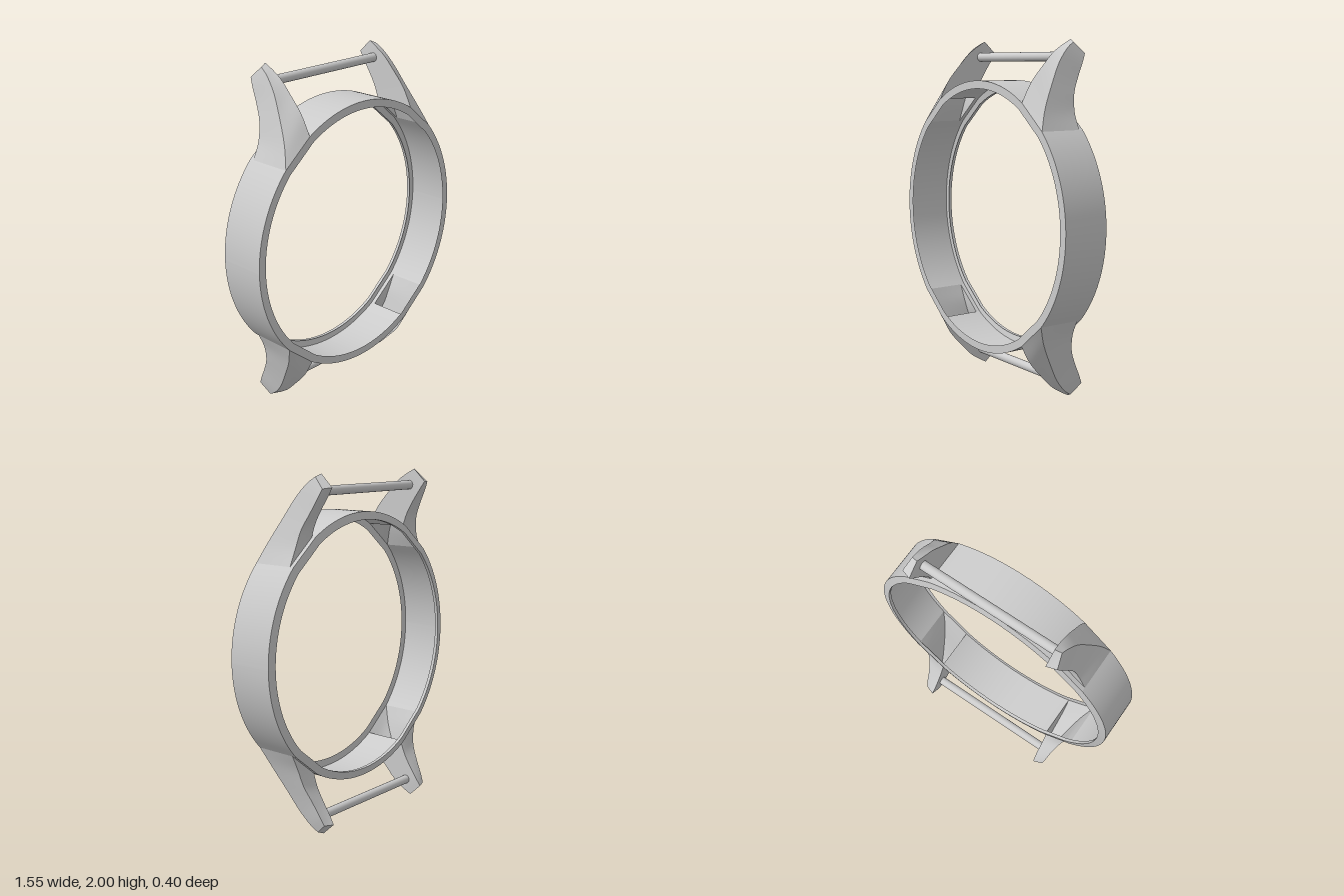
import * as THREE from 'three';

const material = new THREE.MeshStandardMaterial({ color: 0xcccccc, side: THREE.DoubleSide });

const R = 0.775, LIP = 0.045;          // case radius and lip width
const FRONT = 0.2, SHOULDER = -0.05, EDGE = -0.075, BACK = -0.085;
const A = 0.735, B = 1.027;            // angles between which a lug meets the case
const MID = (A + B) / 2;

// Smooth surface through rows of points
function strip(rows) {
  const n = rows[0].length, index = [];
  for (let i = 0; i < rows.length - 1; i++) {
    for (let j = 0; j < n - 1; j++) {
      const a = i * n + j, b = a + n;
      index.push(a, b, a + 1, b, b + 1, a + 1);
    }
  }
  const geometry = new THREE.BufferGeometry().setFromPoints(rows.flat());
  geometry.setIndex(index);
  geometry.computeVertexNormals();
  return geometry;
}

function add(group, name, geometry) {
  const mesh = new THREE.Mesh(geometry, material);
  mesh.name = name;
  group.add(mesh);
}

// Case radius: round, flattened to a chord where the lug joins
const radius = (t) => (t > A && t < B ? R * Math.cos((B - A) / 2) / Math.cos(t - MID) : R);

// Sweep a profile of [inset, z] points around the case between two angles
function sweep(from, to, profile, steps = 20) {
  const rows = [];
  for (let i = 0; i <= steps; i++) {
    const t = from + (to - from) * i / steps;
    rows.push(profile.map(([inset, z]) => new THREE.Vector3(
      (radius(t) - inset) * Math.cos(t), (radius(t) - inset) * Math.sin(t), z)));
  }
  return strip(rows);
}

function lug() {
  const group = new THREE.Group();
  group.name = 'lug';
  const meet = (t, z) => [R * Math.cos(t), R * Math.sin(t), z];
  // The four long edges, from the case to the tip
  const edges = {
    frontInner: [meet(B, FRONT), [0.402, 0.77, 0.14], [0.402, 0.86, 0.06], [0.402, 0.93, -0.01], [0.403, 0.97, -0.07], [0.407, 1.0, -0.125]],
    frontOuter: [meet(A, FRONT), [0.535, 0.63, 0.15], [0.497, 0.76, 0.075], [0.468, 0.88, 0], [0.452, 0.955, -0.07], [0.444, 0.985, -0.115]],
    backOuter: [meet(A, SHOULDER), [0.535, 0.61, -0.052], [0.508, 0.71, -0.07], [0.486, 0.8, -0.115], [0.473, 0.88, -0.158], [0.463, 0.925, -0.18]],
    backInner: [meet(B, SHOULDER), [0.402, 0.7, -0.062], [0.402, 0.75, -0.083], [0.402, 0.82, -0.125], [0.403, 0.885, -0.17], [0.407, 0.93, -0.2]],
  };
  const lines = {};
  for (const key in edges) {
    const curve = new THREE.CatmullRomCurve3(edges[key].map((p) => new THREE.Vector3(...p)));
    lines[key] = Array.from({ length: 31 }, (_, i) => curve.getPoint(i / 30));
  }
  const { frontInner, frontOuter, backOuter, backInner } = lines;
  const between = (p, q) => strip(p.map((v, i) =>
    Array.from({ length: 5 }, (_, k) => v.clone().lerp(q[i], k / 4))));
  add(group, 'lugOuterSide', between(backOuter, frontOuter));
  add(group, 'lugFront', between(frontOuter, frontInner));
  add(group, 'lugInnerSide', between(frontInner, backInner));
  add(group, 'lugBack', between(backInner, backOuter));
  add(group, 'lugTip', strip([[frontInner[30], backInner[30]], [frontOuter[30], backOuter[30]]]));
  return group;
}

// One quarter of the case with its lug
function quarter() {
  const group = new THREE.Group();
  group.name = 'caseQuarter';
  const end = Math.PI / 2;
  const wall = [[0, EDGE], [0, FRONT]];
  add(group, 'sideWall', sweep(0, A, wall));
  add(group, 'endWall', sweep(B, end, wall));
  add(group, 'wallBehindLug', sweep(A, B, [[0, EDGE], [0, SHOULDER]]));
  for (const [from, to] of [[0, A], [A, B], [B, end]]) {
    add(group, 'frontLip', sweep(from, to, [[0, FRONT], [LIP, FRONT]]));
    add(group, 'backLip', sweep(from, to, [[LIP, BACK], [0, EDGE]]));
    add(group, 'backLipRim', sweep(from, to, [[LIP, BACK + 0.02], [LIP, BACK]]));
  }
  group.add(lug());
  return group;
}

export function createModel() {
  const model = new THREE.Group();
  model.name = 'watchCase';

  // Mirror the quarter left to right and top to bottom
  for (const sx of [1, -1]) {
    for (const sy of [1, -1]) {
      const part = quarter();
      part.scale.set(sx, sy, 1);
      part.position.y = 1;
      model.add(part);
    }
  }

  // Strap bars between the lugs
  for (const sy of [1, -1]) {
    const bar = new THREE.Mesh(new THREE.CylinderGeometry(0.026, 0.026, 0.81, 32), material);
    bar.name = 'strapBar';
    bar.rotation.z = Math.PI / 2;
    bar.position.set(0, 1 + sy * 0.907, -0.093);
    model.add(bar);
  }
  return model;
}
